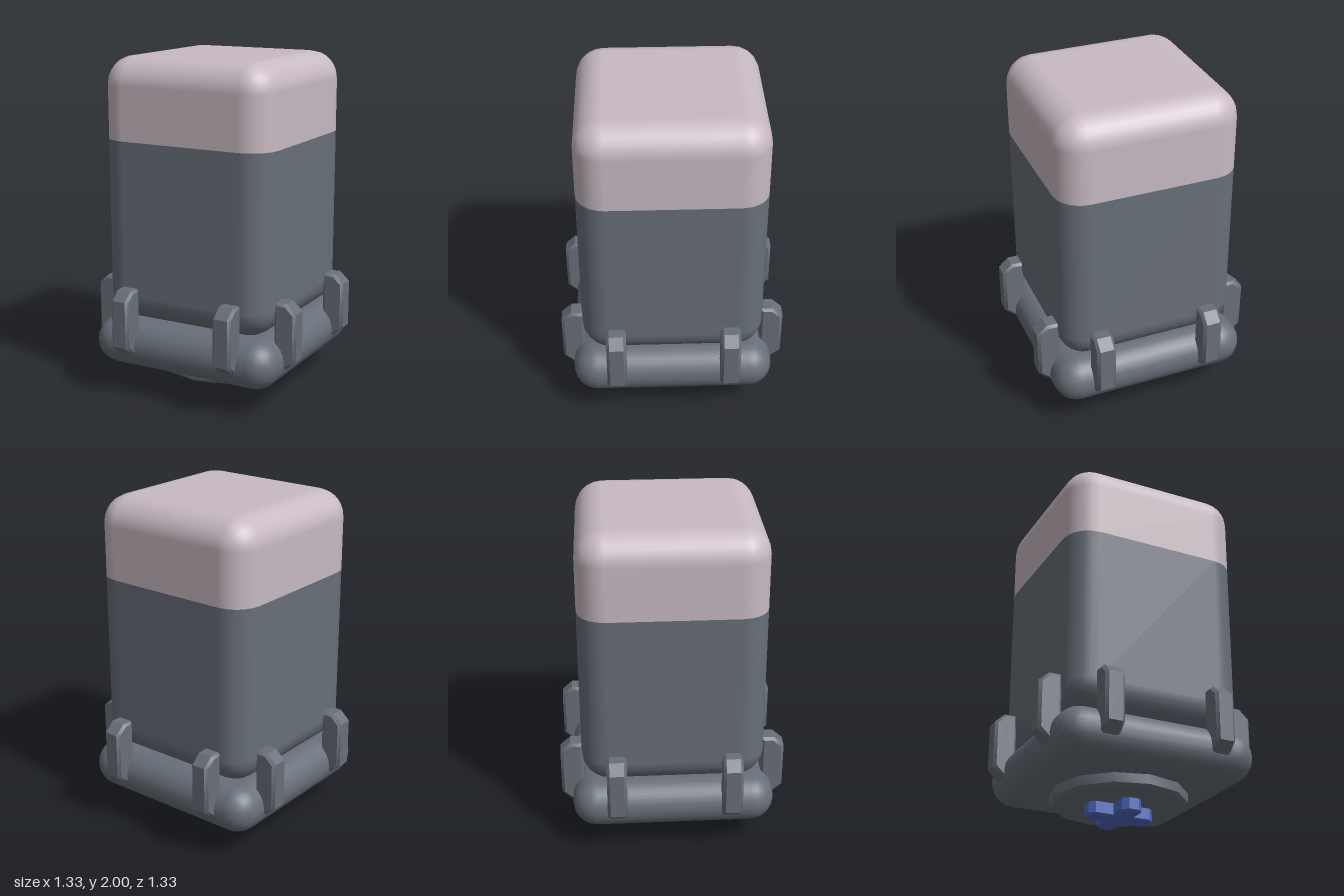
import * as THREE from 'three';
import { RoundedBoxGeometry } from 'three/addons/geometries/RoundedBoxGeometry.js';
import { toCreasedNormals } from 'three/addons/utils/BufferGeometryUtils.js';

const mat = (name, color) => {
  const m = new THREE.MeshStandardMaterial({ color });
  m.name = name;
  return m;
};

// Rounded box between two heights, optionally cut flat by clamping y
function roundedBlock(half, y0, y1, radius, lo = y0, hi = y1) {
  const g = new RoundedBoxGeometry(half * 2, y1 - y0, half * 2, 3, radius);
  g.translate(0, (y0 + y1) / 2, 0);
  const p = g.attributes.position;
  for (let i = 0; i < p.count; i++) p.setY(i, THREE.MathUtils.clamp(p.getY(i), lo, hi));
  return g;
}

// Bevelled prism of an outline, centred on z; the bevel stays inside the outline
function bevelledPrism(points, depth, bevel, crease) {
  const shape = new THREE.Shape(points.map(([x, y]) => new THREE.Vector2(x, y)));
  const g = new THREE.ExtrudeGeometry(shape, {
    depth: depth - 2 * bevel, bevelEnabled: true, bevelThickness: bevel,
    bevelSize: bevel, bevelOffset: -bevel, bevelSegments: 1,
  });
  g.translate(0, 0, bevel - depth / 2);
  return toCreasedNormals(g, crease);
}

export function createModel() {
  const model = new THREE.Group();
  model.name = 'capsuleContainer';
  const grey = mat('slateGrey', 0x686f79);
  const pink = mat('palePink', 0xc8bac3);
  const blue = mat('blue', 0x4d68bd);

  const add = (name, geometry, material, parent = model) => {
    const mesh = new THREE.Mesh(geometry, material);
    mesh.name = name;
    parent.add(mesh);
    return mesh;
  };

  // Tall body with its pale top
  add('body', roundedBlock(0.54, 0.44, 2, 0.165, 0.44, 1.52), grey);
  add('bodyTop', roundedBlock(0.54, 0.44, 2, 0.165, 1.52, 2), pink);

  // Base tray
  add('base', roundedBlock(0.6, 0.155, 0.445, 0.144), grey);

  // Two clips on each of the four sides
  const clipGeometry = bevelledPrism(
    [[0.53, 0.265], [0.605, 0.265], [0.665, 0.32], [0.665, 0.6], [0.605, 0.655], [0.53, 0.655]],
    0.116, 0.016, 0.6);
  for (let side = 0; side < 4; side++) {
    const clips = new THREE.Group();
    clips.name = 'clipPair';
    clips.rotation.y = side * Math.PI / 2;
    for (const s of [-1, 1]) add('clip', clipGeometry, grey, clips).position.z = s * 0.337;
    model.add(clips);
  }

  // Twelve-sided foot disc
  const ring = Array.from({ length: 12 }, (_, i) => {
    const a = i * Math.PI / 6;
    return [Math.cos(a) * 0.4, Math.sin(a) * 0.4];
  });
  const disc = add('footDisc', bevelledPrism(ring, 0.14, 0.02, 0.6), grey);
  disc.rotation.x = Math.PI / 2;
  disc.position.y = 0.15;

  // Cross-shaped drive underneath
  const bar = [[-0.2, -0.03], [-0.17, -0.06], [0.17, -0.06], [0.2, -0.03],
    [0.2, 0.03], [0.17, 0.06], [-0.17, 0.06], [-0.2, 0.03]];
  const barGeometry = bevelledPrism(bar, 0.12, 0.014, 0.6).rotateX(Math.PI / 2);
  for (const turn of [0, Math.PI / 2]) {
    const arm = add('crossBar', barGeometry, blue);
    arm.rotation.y = turn;
    arm.position.y = 0.06;
  }
  return model;
}
